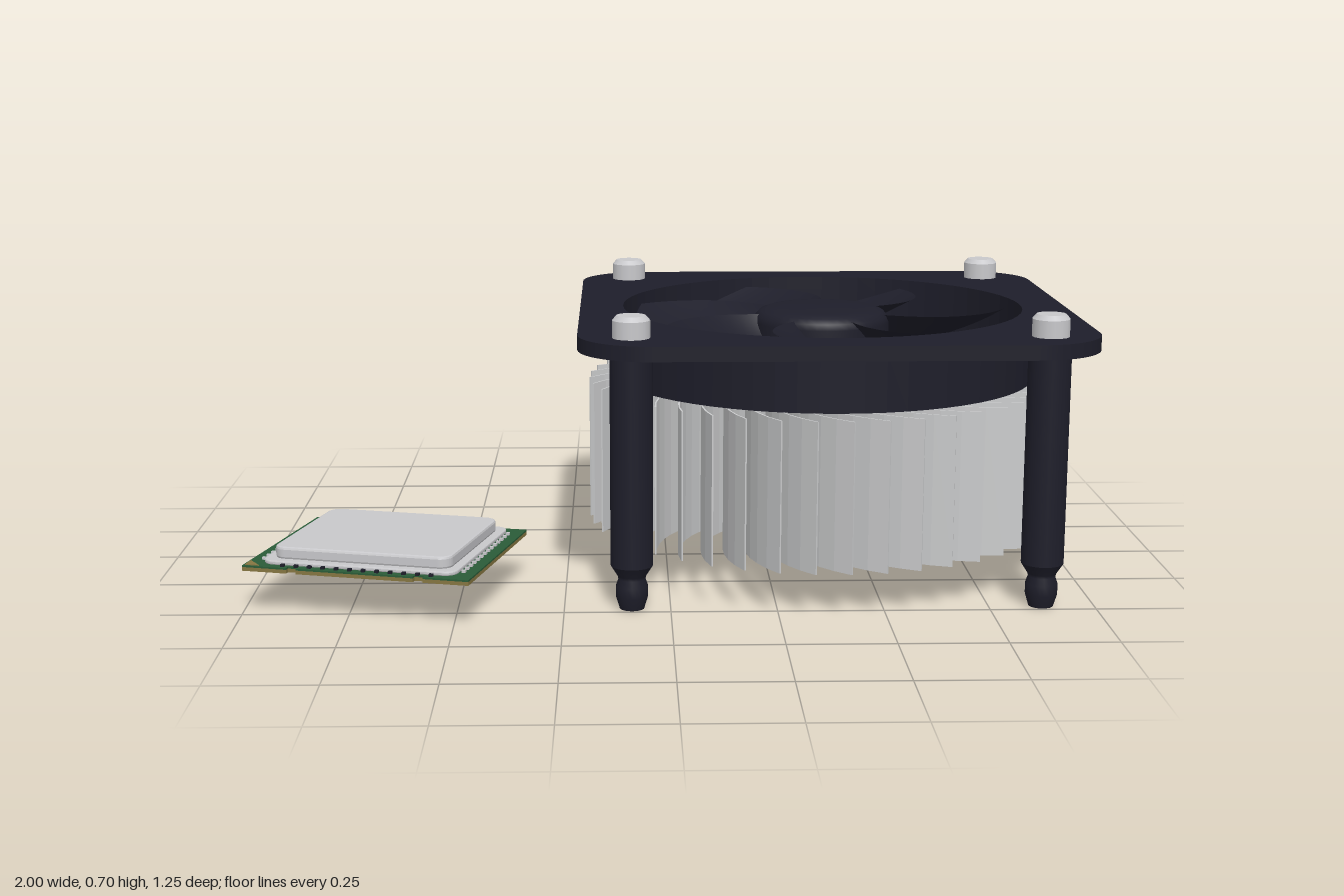
import * as THREE from 'three';
import { ParametricGeometry } from 'three/addons/geometries/ParametricGeometry.js';

const mat = (name, color, side = THREE.FrontSide) => {
  const m = new THREE.MeshStandardMaterial({ color, side });
  m.name = name;
  return m;
};

// Rounded rectangle centred on the origin
function roundedRect(w, d, r) {
  const s = new THREE.Shape(), x = w / 2, y = d / 2;
  s.absarc(x - r, y - r, r, 0, Math.PI / 2);
  s.absarc(-x + r, y - r, r, Math.PI / 2, Math.PI);
  s.absarc(-x + r, -y + r, r, Math.PI, Math.PI * 1.5);
  s.absarc(x - r, -y + r, r, Math.PI * 1.5, Math.PI * 2);
  s.closePath();
  return s;
}

// Extrude a flat outline upward from height y0 to y1
function slab(shape, y0, y1, bevel = 0, curveSegments = 12) {
  const g = new THREE.ExtrudeGeometry(shape, {
    depth: y1 - y0 - 2 * bevel, curveSegments, bevelEnabled: bevel > 0,
    bevelSize: bevel, bevelThickness: bevel, bevelOffset: -bevel, bevelSegments: 2,
  });
  return g.rotateX(-Math.PI / 2).translate(0, y0 + bevel, 0);
}

// Outline of one thin fin curving away from the core
function finOutline(steps, thickness) {
  const sides = [[], []];
  for (let i = 0; i <= steps; i++) {
    const u = i / steps, r = 0.23 + 0.355 * u, a = 0.47 * Math.pow(u, 1.45);
    const lean = a + Math.atan(r * 0.47 * 1.45 * Math.pow(u, 0.45) / 0.355);
    sides.forEach((side, k) => {
      const h = (k ? 0.5 : -0.5) * thickness;
      side.push(new THREE.Vector2(r * Math.cos(a) - h * Math.sin(lean), r * Math.sin(a) + h * Math.cos(lean)));
    });
  }
  return new THREE.Shape([...sides[0], ...sides[1].reverse()]);
}

const lathe = (pts, n) => new THREE.LatheGeometry(pts.map(p => new THREE.Vector2(p[0], p[1])), n);

export function createModel() {
  const black = mat('black plastic', 0x1e1e2a, THREE.DoubleSide);
  const aluminium = mat('aluminium', 0xcbcccd);
  const copper = mat('copper', 0xe8a584);
  const paste = mat('thermal paste', 0x8e8e90);
  const silver = mat('silver', 0xc8c8cb);
  const green = mat('circuit green', 0x2a5c38);
  const gold = mat('contact gold', 0x867642);

  const model = new THREE.Group();
  model.name = 'processorAndCooler';
  const add = (parent, name, geometry, material, x = 0, y = 0, z = 0) => {
    const m = new THREE.Mesh(geometry, material);
    m.name = name;
    m.position.set(x, y, z);
    parent.add(m);
    return m;
  };

  const cooler = new THREE.Group();
  cooler.name = 'cooler';
  cooler.position.set(0.392, 0, -0.018);
  model.add(cooler);

  // Square frame with a round opening, and the shroud below it
  const frame = roundedRect(1.215, 1.215, 0.17);
  const opening = new THREE.Path();
  opening.absarc(0, 0, 0.5, 0, Math.PI * 2, true);
  frame.holes.push(opening);
  add(cooler, 'frame', slab(frame, 0.61, 0.645, 0, 32), black);
  const ring = new THREE.Shape();
  ring.absarc(0, 0, 0.53, 0, Math.PI * 2);
  ring.holes.push(opening);
  add(cooler, 'shroud', slab(ring, 0.474, 0.611, 0, 32), black);

  // Corner posts with snap-in feet and metal caps
  const post = lathe([[0, 0], [0.029, 0], [0.029, 0], [0.038, 0.03], [0.038, 0.055], [0.032, 0.072],
    [0.034, 0.08], [0.05, 0.105], [0.05, 0.105], [0.05, 0.615]], 20);
  const cap = lathe([[0.044, 0.645], [0.044, 0.686], [0.044, 0.686], [0.034, 0.697], [0.034, 0.697], [0, 0.697]], 16);
  for (const x of [-0.483, 0.483]) for (const z of [-0.483, 0.483]) {
    add(cooler, 'post', post, black, x, 0, z);
    add(cooler, 'postCap', cap, silver, x, 0, z);
  }

  // Heat sink: copper core with curved fins swept around it
  add(cooler, 'copperCore', new THREE.CylinderGeometry(0.235, 0.235, 0.37, 48), copper, 0, 0.286, 0);
  add(cooler, 'thermalPaste', new THREE.BoxGeometry(0.3, 0.004, 0.3), paste, 0, 0.0995, 0);
  const fin = slab(finOutline(10, 0.004), 0.106, 0.466);
  const finCount = 44;
  for (let i = 0; i < finCount; i++) {
    add(cooler, 'fin', fin, aluminium).rotation.y = (i / finCount) * Math.PI * 2;
  }

  // Fan: domed hub and seven swept, pitched blades
  const fan = new THREE.Group();
  fan.name = 'fan';
  cooler.add(fan);
  add(fan, 'hub', lathe([[0, 0.535], [0.17, 0.535], [0.17, 0.535], [0.17, 0.605], [0.166, 0.62],
    [0.155, 0.632], [0.135, 0.639], [0.1, 0.642], [0, 0.643]], 40), black);
  const pitch = (Math.PI * 2) / 7;
  const blade = new ParametricGeometry((u, v, t) => {
    const r = 0.16 + 0.318 * v;
    const halfGap = 0.026 / r;
    const a = 0.52 * v * v + halfGap + u * (pitch - 2 * halfGap);
    const y = 0.625 - 0.1 * u - 0.01 * Math.sin(Math.PI * u) * v;
    t.set(r * Math.cos(a), y, -r * Math.sin(a));
  }, 12, 12);
  for (let i = 0; i < 7; i++) add(fan, 'blade', blade, black).rotation.y = 1.34 + i * pitch;

  // Processor lying beside the cooler
  const chip = new THREE.Group();
  chip.name = 'processor';
  chip.position.set(-0.674, -0.002, 0.332);
  chip.rotation.y = -0.25;
  model.add(chip);

  // Circuit board with two key notches on each long edge
  const w = 0.276, d = 0.228, n = 0.012;
  const board = new THREE.Shape();
  board.moveTo(-w, -d);
  for (const s of [1, -1]) {
    for (const c of [-0.155, 0.155]) {
      board.lineTo(s * (c - n), -s * d);
      board.lineTo(s * (c - n), -s * (d - n));
      board.lineTo(s * (c + n), -s * (d - n));
      board.lineTo(s * (c + n), -s * d);
    }
    board.lineTo(s * w, -s * d);
    board.lineTo(s * w, s * d);
  }
  board.closePath();
  add(chip, 'circuitBoard', slab(board, 0.113, 0.117), green);
  add(chip, 'contactLayer', slab(board, 0.104, 0.113), gold);

  // Stepped bare patch in the middle of the contacts
  add(chip, 'contactGap', new THREE.BoxGeometry(0.23, 0.003, 0.13), green, 0, 0.1035, 0);
  add(chip, 'contactGapStep', new THREE.BoxGeometry(0.16, 0.003, 0.18), green, 0, 0.1034, 0);

  // Gold corner marker
  const marker = new THREE.Shape();
  marker.moveTo(-w + 0.005, -d + 0.005);
  marker.lineTo(-w + 0.04, -d + 0.005);
  marker.lineTo(-w + 0.005, -d + 0.04);
  add(chip, 'cornerMarker', slab(marker, 0.117, 0.119), gold);

  // Metal heat spreader: low flange and raised lid
  add(chip, 'spreaderFlange', slab(roundedRect(0.475, 0.418, 0.03), 0.117, 0.127, 0.003), silver);
  add(chip, 'spreaderLid', slab(roundedRect(0.435, 0.375, 0.03), 0.125, 0.155, 0.006), silver);

  // Tiny components around the spreader
  const part = new THREE.BoxGeometry(0.009, 0.006, 0.009);
  for (const s of [-1, 1]) {
    for (let i = 0; i < 14; i++) add(chip, 'component', part, silver, s * 0.246, 0.12, -0.17 + i * 0.026);
    for (let i = 0; i < 12; i++) add(chip, 'component', part, black, -0.18 + i * 0.033, 0.12, s * 0.2155);
  }
  return model;
}
